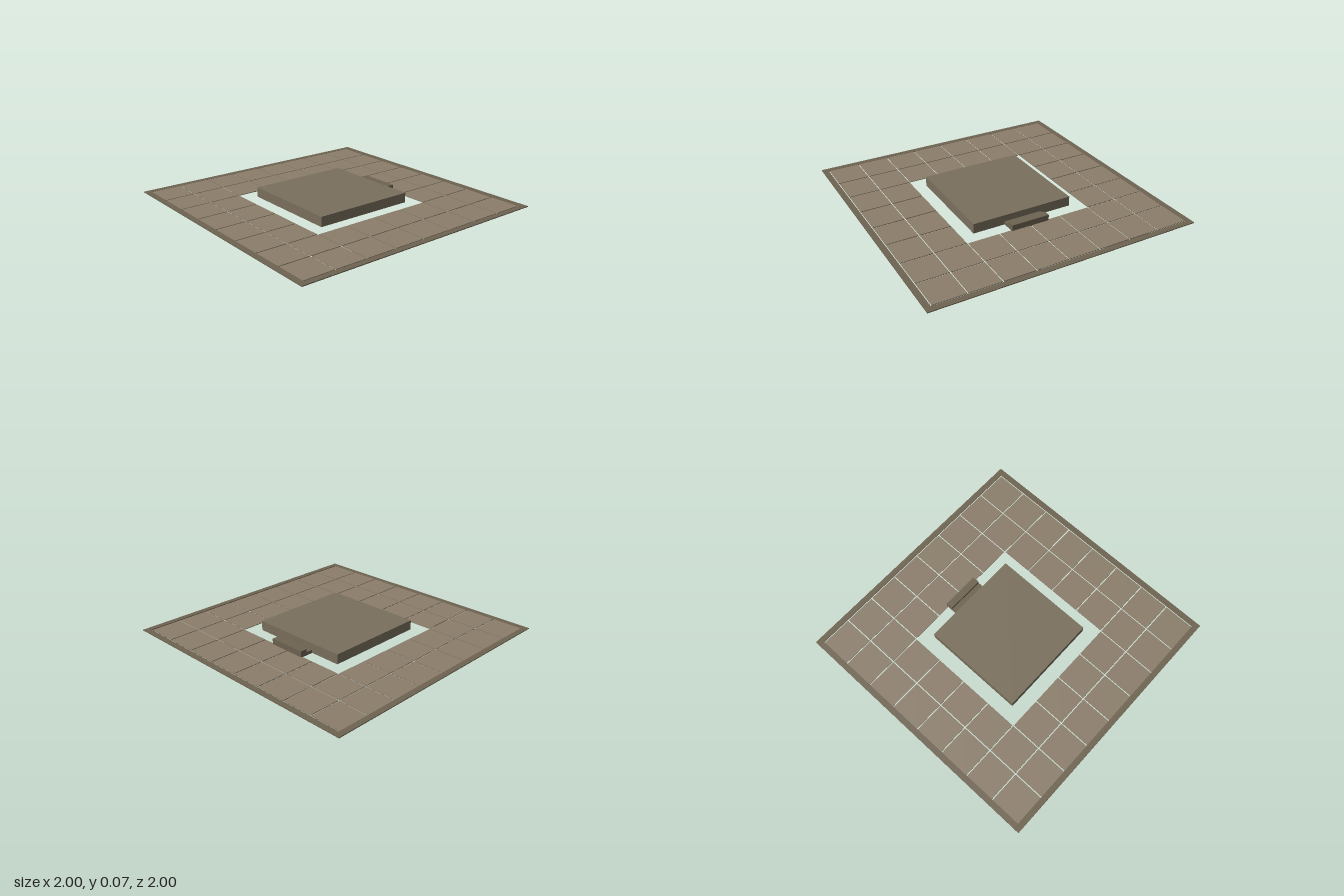
import * as THREE from 'three';

export function createModel() {
  const model = new THREE.Group();
  model.name = 'courtyard';

  const material = (color) => new THREE.MeshStandardMaterial({ color, flatShading: true });
  const tileStone = material(0x8b7d6b);
  const platformStone = material(0x7a6f5d);
  const edgeStone = material(0x6e6351);

  // Box given by its lower and upper limits, standing on the ground
  function block(name, x0, x1, height, z0, z1, mat, parent = model) {
    const mesh = new THREE.Mesh(new THREE.BoxGeometry(x1 - x0, height, z1 - z0), mat);
    mesh.position.set((x0 + x1) / 2, height / 2, (z0 + z1) / 2);
    mesh.name = name;
    parent.add(mesh);
  }

  // Kerb around the outside
  const inner = 0.957;
  const kerb = new THREE.Group();
  kerb.name = 'kerb';
  model.add(kerb);
  block('kerbBack', -1, 1, 0.006, -1, -inner, edgeStone, kerb);
  block('kerbFront', -1, 1, 0.006, inner, 1, edgeStone, kerb);
  block('kerbRight', -1, -inner, 0.006, -inner, inner, edgeStone, kerb);
  block('kerbLeft', inner, 1, 0.006, -inner, inner, edgeStone, kerb);

  // Paving, 8 x 8 slabs without the middle 4 x 4
  const paving = new THREE.Group();
  paving.name = 'paving';
  model.add(paving);
  const count = 8;
  const pitch = (2 * inner) / count;
  const gap = 0.008;
  for (let row = 0; row < count; row++) {
    for (let col = 0; col < count; col++) {
      if (row > 1 && row < 6 && col > 1 && col < 6) continue;
      const x = -inner + col * pitch;
      const z = -inner + row * pitch;
      block('pavingSlab', x, x + pitch - gap, 0.005, z + gap, z + pitch, tileStone, paving);
    }
  }

  // Raised platform in the middle
  block('platform', -0.384, 0.384, 0.073, -0.384, 0.384, platformStone);

  // Two steps at the back of the platform
  const steps = new THREE.Group();
  steps.name = 'steps';
  model.add(steps);
  block('lowerStep', -0.144, 0.144, 0.024, -0.438, -0.384, edgeStone, steps);
  block('upperStep', -0.144, 0.144, 0.048, -0.49, -0.438, edgeStone, steps);

  return model;
}
